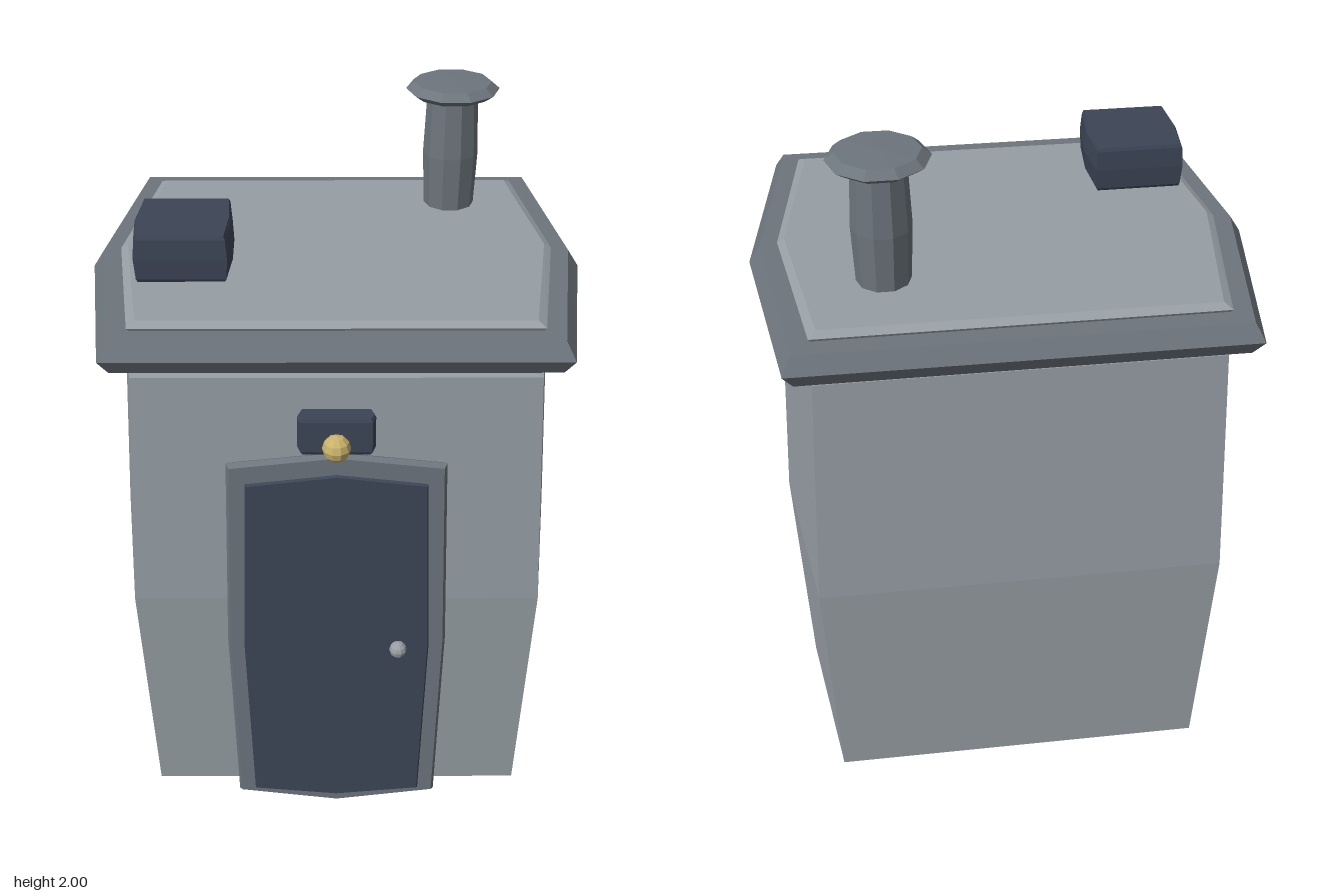
import * as THREE from 'three';

const mat = (name, color) => {
  const m = new THREE.MeshStandardMaterial({ color });
  m.name = name;
  return m;
};

// Faceted solid through a stack of rings, closed by a fan to a point at each end
function loft(rings, startPoint, endPoint) {
  const pos = [];
  const tri = (...pts) => pts.forEach((p) => pos.push(...p));
  const n = rings[0].length;
  const last = rings[rings.length - 1];
  for (let j = 0; j < n; j++) {
    const k = (j + 1) % n;
    tri(rings[0][k], rings[0][j], startPoint);
    tri(last[j], last[k], endPoint);
    for (let i = 0; i < rings.length - 1; i++) {
      const a = rings[i], b = rings[i + 1];
      tri(a[j], a[k], b[k]);
      tri(a[j], b[k], b[j]);
    }
  }
  const g = new THREE.BufferGeometry();
  g.setAttribute('position', new THREE.Float32BufferAttribute(pos, 3));
  g.computeVertexNormals();
  return g;
}

// Six-sided plan: half width at the ends, half width at the middle, half depth
const plan = (y, end, mid, d, cx, cz) => [
  [cx + end, y, cz + d], [cx + mid, y, cz], [cx + end, y, cz - d],
  [cx - end, y, cz - d], [cx - mid, y, cz], [cx - end, y, cz + d],
];

// Stack of plans, levels given as [y, end, mid, depth]
function hexStack(levels, cx, cz, y0 = levels[0][0], y1 = levels[levels.length - 1][0]) {
  return loft(levels.map(([y, e, m, d]) => plan(y, e, m, d, cx, cz)), [cx, y0, cz], [cx, y1, cz]);
}

// Upright bowed panel with pointed top and bottom, edges bevelled
function bowedPanel(end, mid, low, high, lowTip, highTip, z0, z1, bevel) {
  const cy = (low + high) / 2;
  const ring = (z, s) => [
    [end - s, low + s, z], [mid - s, cy, z], [end - s, high - s, z], [0, highTip - s, z],
    [-end + s, high - s, z], [-mid + s, cy, z], [-end + s, low + s, z], [0, lowTip + s, z],
  ];
  const zm = (z0 + z1) / 2;
  return loft([ring(z0, bevel), ring(zm, 0), ring(z1, bevel)], [0, cy, z0], [0, cy, z1]);
}

// Ten-sided turned part, profile given as [radius, y]
function turned(profile) {
  const rings = profile.map(([r, y]) => Array.from({ length: 10 }, (_, i) => {
    const a = (i * Math.PI) / 5;
    return [r * Math.cos(a), y, -r * Math.sin(a)];
  }));
  return loft(rings, [0, profile[0][1] - 0.005, 0], [0, profile[profile.length - 1][1] + 0.005, 0]);
}

function facetedBall(r) {
  const g = new THREE.SphereGeometry(r, 10, 6).toNonIndexed();
  g.computeVertexNormals();
  return g;
}

export function createModel() {
  const group = new THREE.Group();
  const wall = mat('pale grey', 0x969ea4);
  const trim = mat('mid grey', 0x6d757d);
  const dark = mat('dark slate blue', 0x3c4556);
  const metal = mat('light metal', 0x9a9fa4);
  const glow = mat('warm lamp yellow', 0xc9b26a);

  const add = (name, geometry, material, x = 0, y = 0, z = 0) => {
    const m = new THREE.Mesh(geometry, material);
    m.name = name;
    m.position.set(x, y, z);
    group.add(m);
  };

  // Bulging cabin body, coming to shallow points below and above
  add('body', hexStack([
    [0.05, 0.54, 0.61, 0.503], [0.76, 0.57, 0.643, 0.528], [1.463, 0.54, 0.61, 0.503],
  ], 0, -0.035, 0, 1.5), wall);

  // Roof slab with bevelled eaves and a raised top panel
  add('roofSlab', hexStack([
    [1.5, 0.585, 0.66, 0.548], [1.545, 0.61, 0.69, 0.575], [1.592, 0.585, 0.66, 0.548],
  ], 0, -0.04), trim);
  add('roofPanel', hexStack([
    [1.585, 0.53, 0.6, 0.487], [1.6, 0.54, 0.61, 0.495], [1.612, 0.52, 0.59, 0.472],
  ], 0, -0.04), wall);

  // Door
  add('doorFrame', bowedPanel(0.295, 0.31, 0.05, 1.23, 0.01, 1.262, 0.5, 0.532, 0.008), trim);
  add('door', bowedPanel(0.25, 0.267, 0.065, 1.178, 0.04, 1.207, 0.506, 0.54, 0.008), dark);
  add('doorKnob', facetedBall(0.025), metal, 0.175, 0.622, 0.55);

  // Lamp above the door
  add('lampBox', hexStack([
    [1.287, 0.089, 0.098, 0.026], [1.295, 0.094, 0.103, 0.03], [1.385, 0.094, 0.103, 0.03],
    [1.394, 0.089, 0.098, 0.026],
  ], 0, 0.536), dark);
  add('lampBulb', facetedBall(0.038), glow, 0, 1.315, 0.577);

  // Roof vent box
  add('roofVent', hexStack([
    [1.655, 0.115, 0.123, 0.125], [1.663, 0.119, 0.129, 0.129], [1.72, 0.123, 0.135, 0.132],
    [1.775, 0.119, 0.129, 0.129], [1.785, 0.115, 0.123, 0.125],
  ], -0.408, 0.168), dark);

  // Chimney pipe and cap
  add('chimneyPipe', turned([[0.073, 1.628], [0.08, 1.785], [0.073, 1.943]]), trim, 0.335, 0, -0.31);
  add('chimneyCap', turned([[0.105, 1.955], [0.134, 1.975], [0.11, 1.995]]), trim, 0.335, 0, -0.31);

  return group;
}
